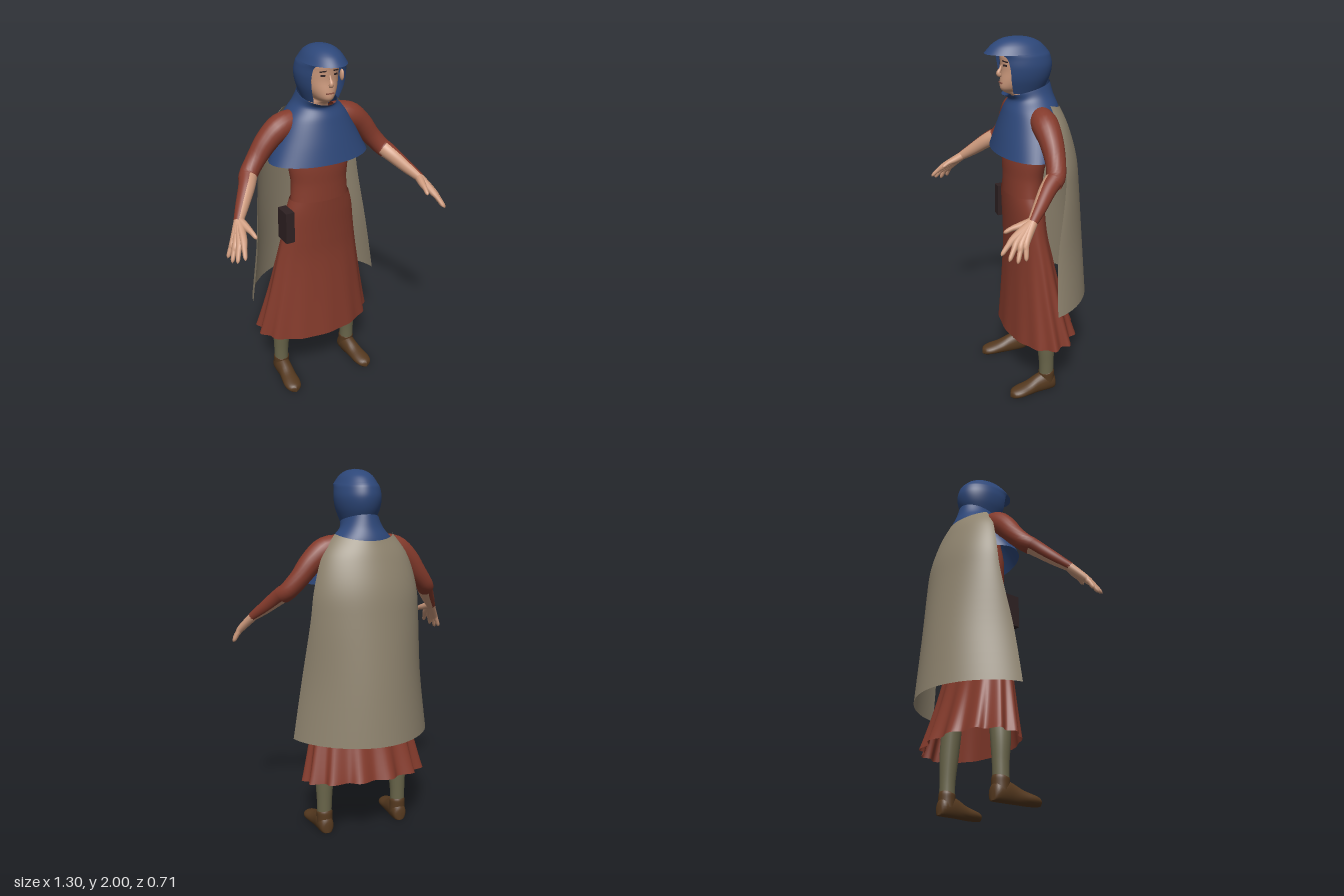
import * as THREE from 'three';

const paint = (name, color, side = THREE.FrontSide) => {
  const m = new THREE.MeshStandardMaterial({ color, side });
  m.name = name;
  return m;
};

// Smooth interpolation through rows of numbers, t from 0 to 1
function sample(keys, t) {
  const f = t * (keys.length - 1), i = Math.min(Math.floor(f), keys.length - 2), s = f - i;
  const k = (n) => keys[Math.max(0, Math.min(keys.length - 1, n))];
  return keys[i].map((_, c) => {
    const a = k(i - 1)[c], b = k(i)[c], d = k(i + 1)[c], e = k(i + 2)[c];
    return b + 0.5 * s * (d - a + s * (2 * a - 5 * b + 4 * d - e + s * (3 * (b - d) + e - a)));
  });
}

// Skin of quads from point(angle, v); full turns are closed without a seam
function surface(point, a0, a1, across, along) {
  const closed = Math.abs(a1 - a0 - 2 * Math.PI) < 1e-6, w = closed ? across : across + 1;
  const pos = [], idx = [];
  for (let i = 0; i <= along; i++)
    for (let j = 0; j < w; j++) pos.push(...point(a0 + ((a1 - a0) * j) / across, i / along));
  for (let i = 0; i < along; i++)
    for (let j = 0; j < across; j++) {
      const a = i * w + j, b = i * w + ((j + 1) % w);
      idx.push(a, a + w, b, b, a + w, b + w);
    }
  const g = new THREE.BufferGeometry();
  g.setAttribute('position', new THREE.Float32BufferAttribute(pos, 3));
  g.setIndex(idx);
  g.computeVertexNormals();
  return g;
}

const rad = THREE.MathUtils.degToRad;

// Horizontal ellipses, top down: [y, half width, front z, back z, drop at the front]
function loft(keys, { from = 0, to = 360, ripple = () => 1, pinch = 0, across = 64, along = 28 } = {}) {
  return surface((a, v) => {
    const [y, w, f, b, drop = 0] = sample(keys, v);
    const k = ripple(a, v), c = Math.cos(a);
    return [w * k * Math.sin(a) * (1 - pinch * Math.abs(c)), y - drop * (1 + c) / 2, (f + b) / 2 + ((f - b) / 2) * k * c];
  }, rad(from), rad(to), across, along);
}

// Round limb along [x, y, z, radius]; angle 0 faces front-inward on the arms
function limb(keys, { from = 0, to = 360, across = 20, along = 20 } = {}) {
  const at = (t) => new THREE.Vector3(...sample(keys, t));
  const dir = at(1).sub(at(0)).normalize();
  const ref = Math.abs(dir.y) > 0.85 ? new THREE.Vector3(0, 0, 1) : new THREE.Vector3(0, 1, 0);
  return surface((a, v) => {
    const t = at(Math.min(1, v + 0.01)).sub(at(Math.max(0, v - 0.01))).normalize();
    const n1 = new THREE.Vector3().crossVectors(t, ref).normalize();
    const n2 = new THREE.Vector3().crossVectors(n1, t);
    const r = sample(keys, v)[3];
    return at(v).addScaledVector(n1, r * Math.cos(a)).addScaledVector(n2, r * Math.sin(a)).toArray();
  }, rad(from), rad(to), across, along);
}

function mirrored(geo) {
  const g = geo.clone().scale(-1, 1, 1), ix = g.index.array;
  for (let i = 0; i < ix.length; i += 3) [ix[i + 1], ix[i + 2]] = [ix[i + 2], ix[i + 1]];
  g.computeVertexNormals();
  return g;
}

export function createModel() {
  const D = THREE.DoubleSide;
  const blue = paint('hood blue', 0x2d4779, D), red = paint('robe red', 0x853b2c, D);
  const tan = paint('cape tan', 0x8f846f, D), skin = paint('skin', 0xcd9a7d, D);
  const olive = paint('hose olive', 0x69654a), brown = paint('shoe brown', 0x55391f);
  const dark = paint('dark leather', 0x2f2223), lip = paint('lip', 0x925848);

  const model = new THREE.Group();
  model.name = 'cloakedFigure';
  const add = (name, geo, mat) => {
    const m = new THREE.Mesh(geo, mat);
    m.name = name;
    model.add(m);
    return m;
  };
  const pair = (name, geo, mat) => {
    add(name + 'Left', geo, mat);
    add(name + 'Right', mirrored(geo), mat);
  };

  // Head and face
  add('head', loft([[1.96, 0.03, 0.06, -0.06], [1.92, 0.09, 0.118, -0.1], [1.88, 0.094, 0.119, -0.11],
    [1.83, 0.091, 0.116, -0.11], [1.78, 0.078, 0.122, -0.1], [1.74, 0.056, 0.122, -0.09],
    [1.718, 0.035, 0.1, -0.085], [1.69, 0.05, 0.055, -0.08], [1.6, 0.06, 0.045, -0.08]], { across: 40 }), skin);
  add('nose', limb([[0, 1.868, 0.111, 0.003], [0, 1.84, 0.122, 0.007], [0, 1.819, 0.132, 0.012],
    [0, 1.807, 0.124, 0.011], [0, 1.803, 0.112, 0.002]]), skin);
  const plate = (name, x, y, w, h, z, tilt, mat) => {
    const m = add(name, new THREE.BoxGeometry(w, h, 0.008), mat);
    m.position.set(x, y, z);
    m.rotation.set(0, x * 11, tilt);
  };
  for (const s of [1, -1]) {
    plate('eyebrow', s * 0.036, 1.881, 0.036, 0.006, 0.109, -s * 0.12, dark);
    plate('eye', s * 0.036, 1.861, 0.024, 0.009, 0.108, 0, dark);
  }
  plate('mouth', 0, 1.768, 0.044, 0.007, 0.12, 0, lip);
  pair('ear', new THREE.SphereGeometry(0.02, 12, 10).scale(0.5, 1.5, 0.8).translate(0.092, 1.84, 0.075), skin);

  // Hood with a forward peak, open around the face
  add('hoodCrown', loft([[2, 0, 0.04, 0.04], [1.99, 0.048, 0.108, -0.035], [1.963, 0.084, 0.162, -0.095],
    [1.92, 0.111, 0.205, -0.137]]), blue);
  add('hoodSides', loft([[1.92, 0.111, 0.205, -0.137], [1.9, 0.117, 0.182, -0.148], [1.85, 0.123, 0.168, -0.157],
    [1.79, 0.114, 0.155, -0.145], [1.72, 0.088, 0.125, -0.11]], { from: 53, to: 307 }), blue);
  add('mantle', loft([[1.765, 0.098, 0.112, -0.148, 0.06], [1.7, 0.118, 0.075, -0.165, 0.02], [1.62, 0.178, 0.098, -0.192, 0],
    [1.51, 0.235, 0.132, -0.195, 0], [1.4, 0.285, 0.16, -0.17, 0]]), blue);

  // Robe: bodice and flared skirt with folds at the sides and back
  add('bodice', loft([[1.62, 0.13, 0.07, -0.12], [1.4, 0.172, 0.1, -0.12], [1.26, 0.163, 0.1, -0.1],
    [1.15, 0.172, 0.1, -0.09]]), red);
  const folds = (a, v) => 1 + v ** 3 * (0.01 + 0.07 * (1 - Math.cos(a)) / 2) * Math.sin(13 * a + 1.5);
  add('skirt', loft([[1.172, 0.176, 0.106, -0.096, 0], [1.09, 0.2, 0.1, -0.1, 0], [0.95, 0.222, 0.09, -0.11, 0],
    [0.8, 0.25, 0.085, -0.14, 0], [0.57, 0.296, 0.095, -0.195, 0.01], [0.335, 0.348, 0.11, -0.265, 0.035]],
  { ripple: folds, across: 160, along: 36 }), red);

  // Cape: half ellipses, wrapping the back only
  const cape = [[1.63, 0.165, -0.085, -0.195, -0.07], [1.54, 0.245, -0.105, -0.232, -0.02], [1.38, 0.295, -0.12, -0.278, 0],
    [1.2, 0.315, -0.11, -0.302, 0], [0.88, 0.352, -0.06, -0.335, 0], [0.56, 0.398, -0.045, -0.36, 0]];
  add('cape', loft(cape.map(([y, w, f, b, d]) => [y, w, 2 * f - b, b, d]), { from: 90, to: 270, pinch: 0.17 }), tan);

  // Arms: full sleeve to the elbow, then an outer sleeve half with bare skin inside
  pair('upperSleeve', limb([[0.1, 1.6, -0.05, 0.06], [0.2, 1.58, -0.04, 0.07], [0.28, 1.518, -0.04, 0.062],
    [0.345, 1.437, -0.035, 0.053], [0.4, 1.372, -0.015, 0.049], [0.425, 1.346, 0.015, 0.0475]]), red);
  const forearm = [[0.415, 1.358, 0.005, 0.047], [0.445, 1.325, 0.05, 0.043], [0.5, 1.265, 0.115, 0.035],
    [0.55, 1.213, 0.175, 0.025]];
  pair('forearm', limb(forearm, { from: -126, to: 72 }), skin);
  pair('forearmSleeve', limb(forearm, { from: 72, to: 234 }), red);

  // Hands: each finger runs from the wrist, so together they form the palm
  const wrist = [0.545, 1.218, 0.168];
  const fingers = [
    ['thumb', [0.53, 1.2, 0.225], [0.512, 1.168, 0.305]],
    ['indexFinger', [0.567, 1.163, 0.27], [0.594, 1.094, 0.35]],
    ['middleFinger', [0.584, 1.15, 0.262], [0.624, 1.072, 0.322]],
    ['ringFinger', [0.597, 1.142, 0.247], [0.637, 1.06, 0.284]],
    ['littleFinger', [0.602, 1.143, 0.228], [0.643, 1.068, 0.244]],
  ];
  for (const [name, knuckle, tip] of fingers) {
    const along = (t) => knuckle.map((k, i) => k + (tip[i] - k) * t + (i === 1 ? 0.02 * t * (1 - t) : 0));
    pair(name, limb([[...wrist, 0.025], [...knuckle, 0.0195], [...along(0.5), 0.0135], [...along(0.9), 0.01],
      [...along(1.03), 0]], { across: 10, along: 20 }), skin);
  }

  // Legs and shoes
  pair('leg', limb([[0.228, 0.07, -0.055, 0.041], [0.227, 0.18, -0.055, 0.043], [0.222, 0.32, -0.05, 0.052],
    [0.205, 0.5, -0.045, 0.056]]), olive);
  pair('shoeCuff', limb([[0.227, 0.04, -0.057, 0.045], [0.227, 0.08, -0.057, 0.045], [0.227, 0.112, -0.056, 0.045],
    [0.227, 0.118, -0.055, 0.038]]), brown);
  const shoe = [[-0.11, 0, 0.03, 0.225], [-0.1, 0.036, 0.08, 0.226], [-0.05, 0.045, 0.106, 0.228],
    [0.005, 0.044, 0.092, 0.23], [0.06, 0.047, 0.066, 0.236], [0.115, 0.05, 0.052, 0.241],
    [0.158, 0.036, 0.04, 0.243], [0.175, 0, 0.025, 0.243]];
  pair('shoe', surface((a, v) => {
    const [z, w, h, x] = sample(shoe, v);
    return [x - w * Math.cos(a), Math.max(0, 0.44 * h + 0.6 * h * Math.sin(a)), z];
  }, 0, 2 * Math.PI, 24, 24), brown);

  // Hip pouch
  add('pouch', new THREE.BoxGeometry(0.05, 0.18, 0.1), dark).position.set(-0.213, 1.04, 0.025);
  return model;
}
